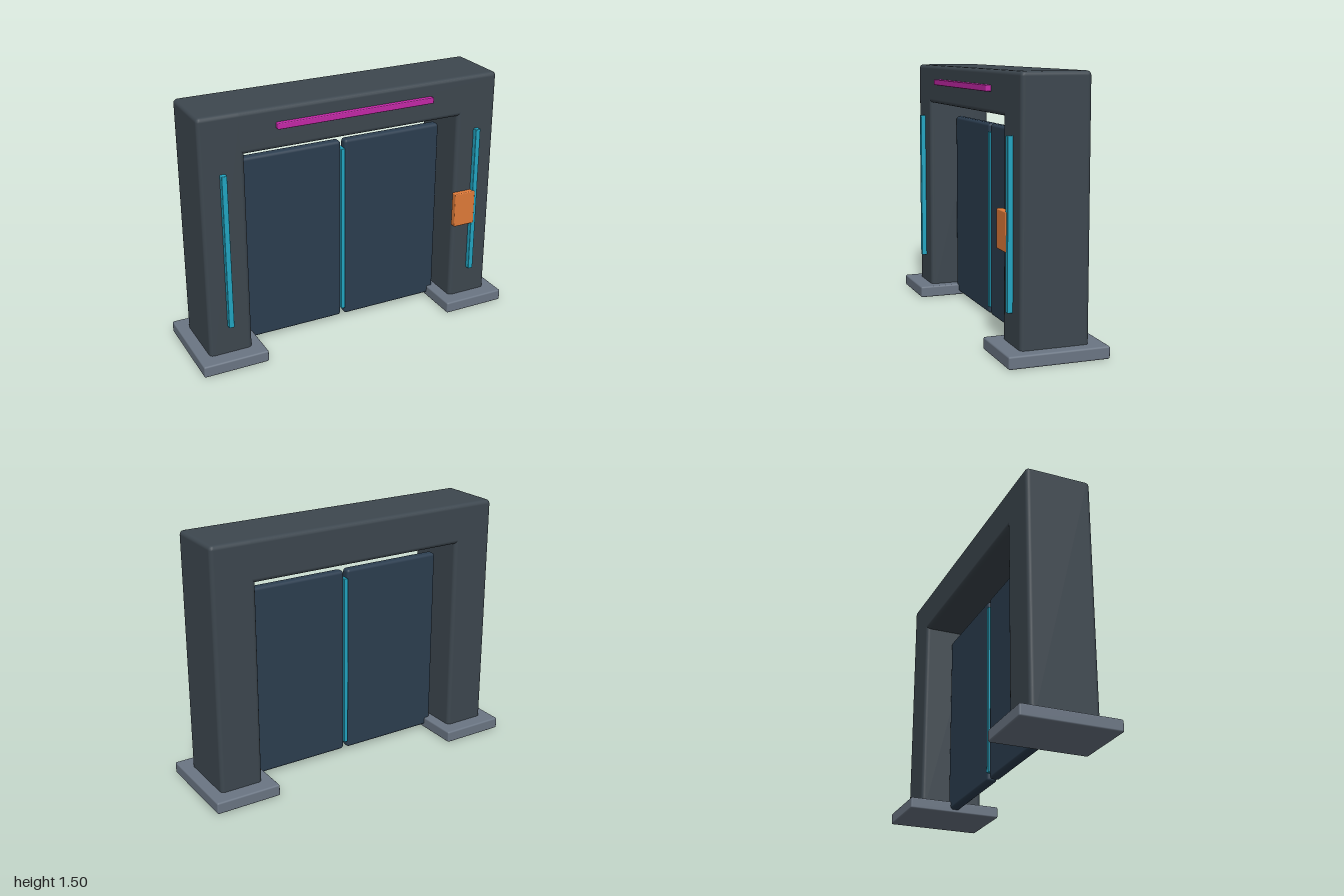
import * as THREE from 'three';
import { RoundedBoxGeometry } from 'three/addons/geometries/RoundedBoxGeometry.js';

const material = (color) => new THREE.MeshStandardMaterial({ color });

export function createModel() {
  const group = new THREE.Group();
  const frameMat = material(0x3d474f);
  const footMat = material(0x6b7684);
  const doorMat = material(0x2c3e50);
  const cyanMat = material(0x22a6c3);
  const magentaMat = material(0xc428a8);
  const orangeMat = material(0xe07b39);

  // Rounded block given by its minimum and maximum corners
  function block(name, mat, [x0, y0, z0], [x1, y1, z1], radius) {
    const geo = new RoundedBoxGeometry(x1 - x0, y1 - y0, z1 - z0, 2, radius);
    const mesh = new THREE.Mesh(geo, mat);
    mesh.name = name;
    mesh.position.set((x0 + x1) / 2, (y0 + y1) / 2, (z0 + z1) / 2);
    group.add(mesh);
    return mesh;
  }

  // Parts repeated on both sides of the gateway
  for (const [side, s] of [['left', 1], ['right', -1]]) {
    const pair = (name, mat, a, b, r) => {
      block(side + name, mat, a, b, r).position.x *= s;
    };
    pair('Foot', footMat, [0.605, 0, -0.285], [1, 0.07, 0.285], 0.01);
    pair('Pillar', frameMat, [0.67, 0.03, -0.195], [0.93, 1.505, 0.195], 0.025);
    pair('Door', doorMat, [0.012, 0.02, -0.03], [0.648, 1.175, 0.03], 0.018);
    pair('LightStrip', cyanMat, [0.786, 0.245, 0.18], [0.818, 1.175, 0.225], 0.004);
  }

  // Beam across the top
  block('lintel', frameMat, [-0.93, 1.265, -0.195], [0.93, 1.505, 0.195], 0.025);

  // Light bar on the lintel and glowing seam between the doors
  block('lintelLight', magentaMat, [-0.485, 1.385, 0.18], [0.485, 1.42, 0.225], 0.005);
  block('doorSeam', cyanMat, [-0.013, 0.065, -0.036], [0.013, 1.125, 0.036], 0.004);

  // Control panel on the left pillar
  block('controlPanel', orangeMat, [0.662, 0.565, 0.19], [0.8, 0.78, 0.23], 0.006);

  return group;
}
